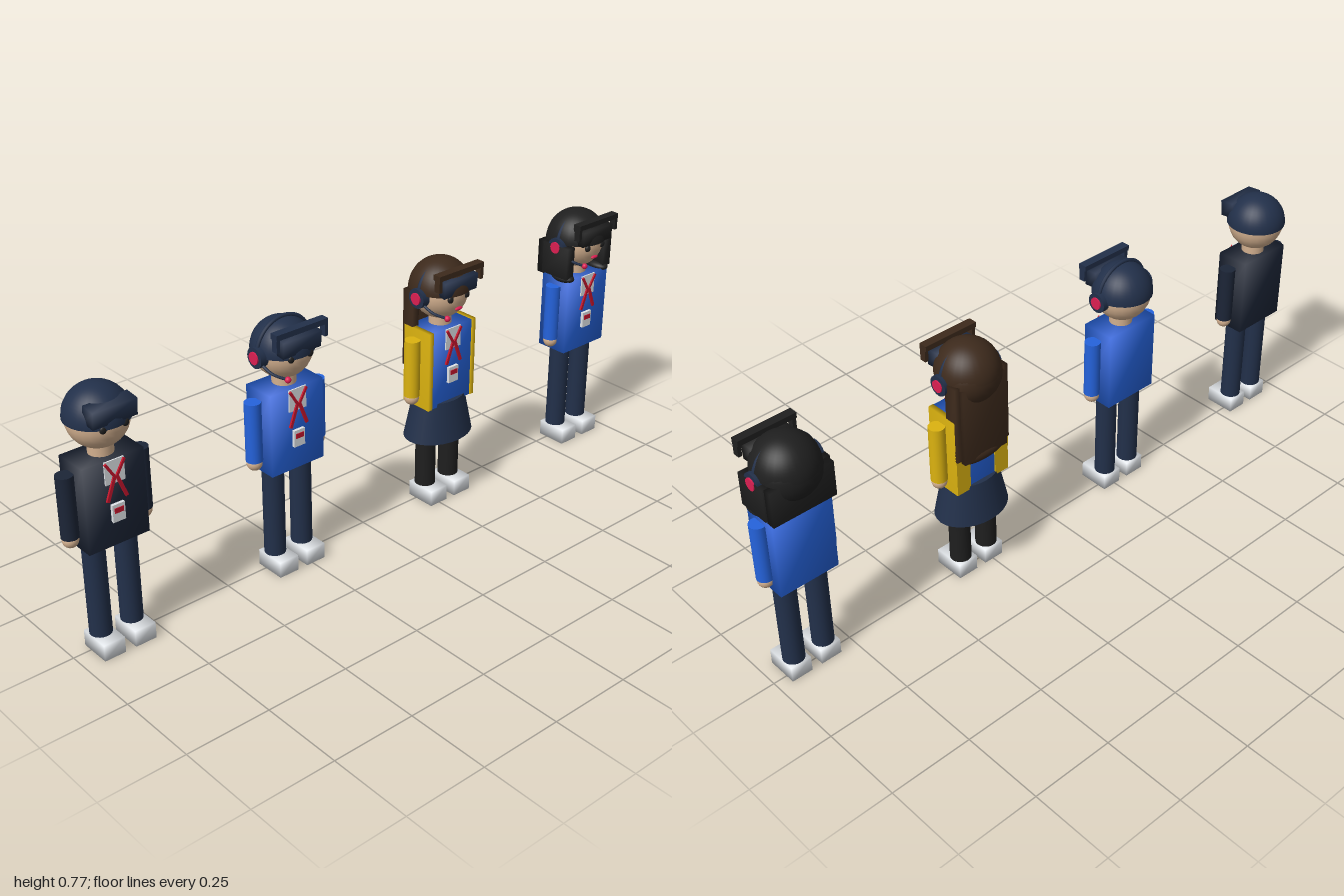
import * as THREE from 'three';
import { mergeVertices } from 'three/addons/utils/BufferGeometryUtils.js';

const COLORS = {
  skin: 0xd3b08f, navy: 0x22304a, jacket: 0x1c2537, blue: 0x2563dc, yellow: 0xdcb310,
  brown: 0x3d2a1c, black: 0x1f1f1f, white: 0xe8ecf0, red: 0xc4162c, pink: 0xdc1f52,
};

export function createModel() {
  const mat = {};
  for (const [name, color] of Object.entries(COLORS)) {
    mat[name] = new THREE.MeshStandardMaterial({ color });
    mat[name].name = name;
  }
  mat.navy.side = mat.black.side = mat.brown.side = THREE.DoubleSide;

  const add = (parent, name, geo, color, x, y, z) => {
    const m = new THREE.Mesh(geo, mat[color]);
    m.name = name;
    m.position.set(x, y, z);
    parent.add(m);
    return m;
  };

  // box whose corners share soft normals
  const softBox = (w, h, d) => {
    let g = new THREE.BoxGeometry(w, h, d);
    g.deleteAttribute('normal');
    g.deleteAttribute('uv');
    g = mergeVertices(g);
    g.computeVertexNormals();
    return g;
  };
  const ball = (rx, ry = rx, rz = rx) => new THREE.SphereGeometry(1, 24, 16).scale(rx, ry, rz);
  const rod = (r, h, n = 20) => new THREE.CylinderGeometry(r, r, h, n);

  // flat strip on the chest between two points
  const strip = (parent, name, x1, y1, x2, y2, w, z) => {
    const m = add(parent, name, new THREE.BoxGeometry(w, Math.hypot(x2 - x1, y2 - y1), 0.006),
      'red', (x1 + x2) / 2, (y1 + y2) / 2, z);
    m.rotation.z = Math.atan2(x1 - x2, y2 - y1);
  };

  function body(g, o) {
    const armX = o.armX ?? 0.11;
    add(g, 'torso', softBox(0.18, 0.245, 0.104), o.top, 0, 0.447, 0.005);
    add(g, 'neck', rod(0.034, 0.05), 'skin', 0, 0.585, 0.003);
    add(g, 'head', ball(0.083), 'skin', 0, 0.669, 0);
    for (const s of [-1, 1]) {
      add(g, 'shoe', softBox(0.064, 0.048, 0.096), 'white', s * 0.048, 0.024, 0.019);
      add(g, 'leg', rod(0.031, 0.285), o.legs, s * 0.048, 0.19, 0.004);
      add(g, 'arm', rod(0.0238, 0.178), o.sleeves ?? o.top, s * armX, 0.454, 0.005);
      add(g, 'hand', ball(0.022), 'skin', s * armX, 0.357, 0.005);
      add(g, 'eye', ball(0.01, 0.011, 0.007), 'black', s * 0.032, 0.669, 0.077);
      // neck ribbon and its tails
      strip(g, 'ribbon', s * 0.028, 0.565, 0, 0.518, 0.007, 0.063);
      strip(g, 'ribbonTail', s * 0.004, 0.522, s * 0.028, 0.458, 0.009, 0.063);
    }
    add(g, 'shirtFront', new THREE.BoxGeometry(0.058, 0.065, 0.006), 'white', 0, 0.536, 0.058);
    add(g, 'badge', new THREE.BoxGeometry(0.037, 0.05, 0.009), 'white', 0, 0.42, 0.0615);
    add(g, 'badgeStripe', new THREE.BoxGeometry(0.026, 0.014, 0.003), 'red', 0, 0.428, 0.067);
    if (o.lips) add(g, 'lips', ball(0.014, 0.005, 0.006), 'pink', 0, 0.634, 0.078);
  }

  // dome on top of the head, with a slanted front piece
  function dome(g, color, r, y, theta, front, name) {
    add(g, name, new THREE.SphereGeometry(r, 28, 16, 0, Math.PI * 2, 0, theta), color, 0, y, 0);
    const brim = add(g, name + 'Front', softBox(0.128, 0.048, 0.045), front, 0, 0.707, 0.064);
    brim.rotation.x = 0.1;
  }

  function headset(g, barColor) {
    add(g, 'headband', new THREE.TorusGeometry(0.09, 0.006, 8, 32, Math.PI), 'navy', 0, 0.672, 0.005);
    for (const s of [-1, 1]) {
      add(g, 'earCup', rod(0.03, 0.025), 'navy', s * 0.086, 0.668, 0.005).rotation.z = Math.PI / 2;
      add(g, 'earCupDisc', rod(0.018, 0.006), 'pink', s * 0.1, 0.668, 0.005).rotation.z = Math.PI / 2;
      add(g, 'barPost', new THREE.BoxGeometry(0.011, 0.042, 0.02), barColor, s * 0.081, 0.727, 0.077);
    }
    add(g, 'raisedBar', new THREE.BoxGeometry(0.173, 0.016, 0.026), barColor, 0, 0.749, 0.075);
    // microphone on the right cheek
    const path = new THREE.CatmullRomCurve3([
      new THREE.Vector3(-0.09, 0.655, 0.02),
      new THREE.Vector3(-0.078, 0.633, 0.055),
      new THREE.Vector3(-0.05, 0.618, 0.084),
    ]);
    add(g, 'microphoneArm', new THREE.TubeGeometry(path, 12, 0.004, 8), 'navy', 0, 0, 0);
    add(g, 'microphone', ball(0.009), 'pink', -0.05, 0.618, 0.084);
  }

  // dark rear half of a head of hair
  const rearHair = (g, color) =>
    add(g, 'rearHair', ball(0.086, 0.08, 0.07), color, 0, 0.672, -0.021);

  function longHair(g) {
    rearHair(g, 'brown');
    add(g, 'backHair', softBox(0.15, 0.24, 0.026), 'brown', 0, 0.55, -0.054);
    add(g, 'backHairTip', ball(0.075, 0.022, 0.018), 'brown', 0, 0.432, -0.052);
    for (const s of [-1, 1])
      add(g, 'sideStrand', softBox(0.024, 0.24, 0.04), 'brown', s * 0.08, 0.56, -0.035);
  }

  function bobHair(g) {
    rearHair(g, 'black');
    add(g, 'backHair', softBox(0.19, 0.106, 0.026), 'black', 0, 0.622, -0.054);
    for (const s of [-1, 1]) {
      add(g, 'sideLock', softBox(0.032, 0.1, 0.1), 'black', s * 0.085, 0.626, 0.007);
      add(g, 'lockCurl', ball(0.024, 0.015, 0.042), 'black', s * 0.078, 0.572, 0.024);
    }
  }

  function skirtAndVest(g) {
    add(g, 'skirt', new THREE.CylinderGeometry(0.066, 0.087, 0.125, 28).scale(1.32, 1, 1), 'navy', 0, 0.2725, 0.005);
    for (const s of [-1, 1]) {
      add(g, 'vestSide', softBox(0.016, 0.247, 0.106), 'yellow', s * 0.084, 0.447, 0.005);
      add(g, 'vestBack', new THREE.BoxGeometry(0.047, 0.245, 0.004), 'yellow', s * 0.068, 0.447, -0.048);
    }
  }

  const model = new THREE.Group();
  model.name = 'fourFigures';
  const figure = (name, x) => {
    const g = new THREE.Group();
    g.name = name;
    g.position.x = x;
    model.add(g);
    return g;
  };

  // figure in dark jacket and cap
  const a = figure('jacketFigure', -0.866);
  body(a, { top: 'jacket', legs: 'navy' });
  dome(a, 'navy', 0.088, 0.671, 1.6, 'navy', 'cap');

  // figure in blue top, cap and headset
  const b = figure('blueFigure', -0.286);
  body(b, { top: 'blue', legs: 'navy' });
  dome(b, 'navy', 0.088, 0.671, 1.6, 'navy', 'cap');
  headset(b, 'navy');

  // figure with long hair, vest and skirt
  const c = figure('skirtFigure', 0.295);
  body(c, { top: 'blue', sleeves: 'yellow', legs: 'black', lips: true });
  dome(c, 'brown', 0.091, 0.679, 1.57, 'navy', 'hair');
  longHair(c);
  headset(c, 'brown');
  skirtAndVest(c);

  // figure with bobbed hair
  const d = figure('bobFigure', 0.879);
  body(d, { top: 'blue', legs: 'navy', armX: 0.097, lips: true });
  dome(d, 'black', 0.091, 0.679, 1.57, 'black', 'hair');
  bobHair(d);
  headset(d, 'black');

  return model;
}
